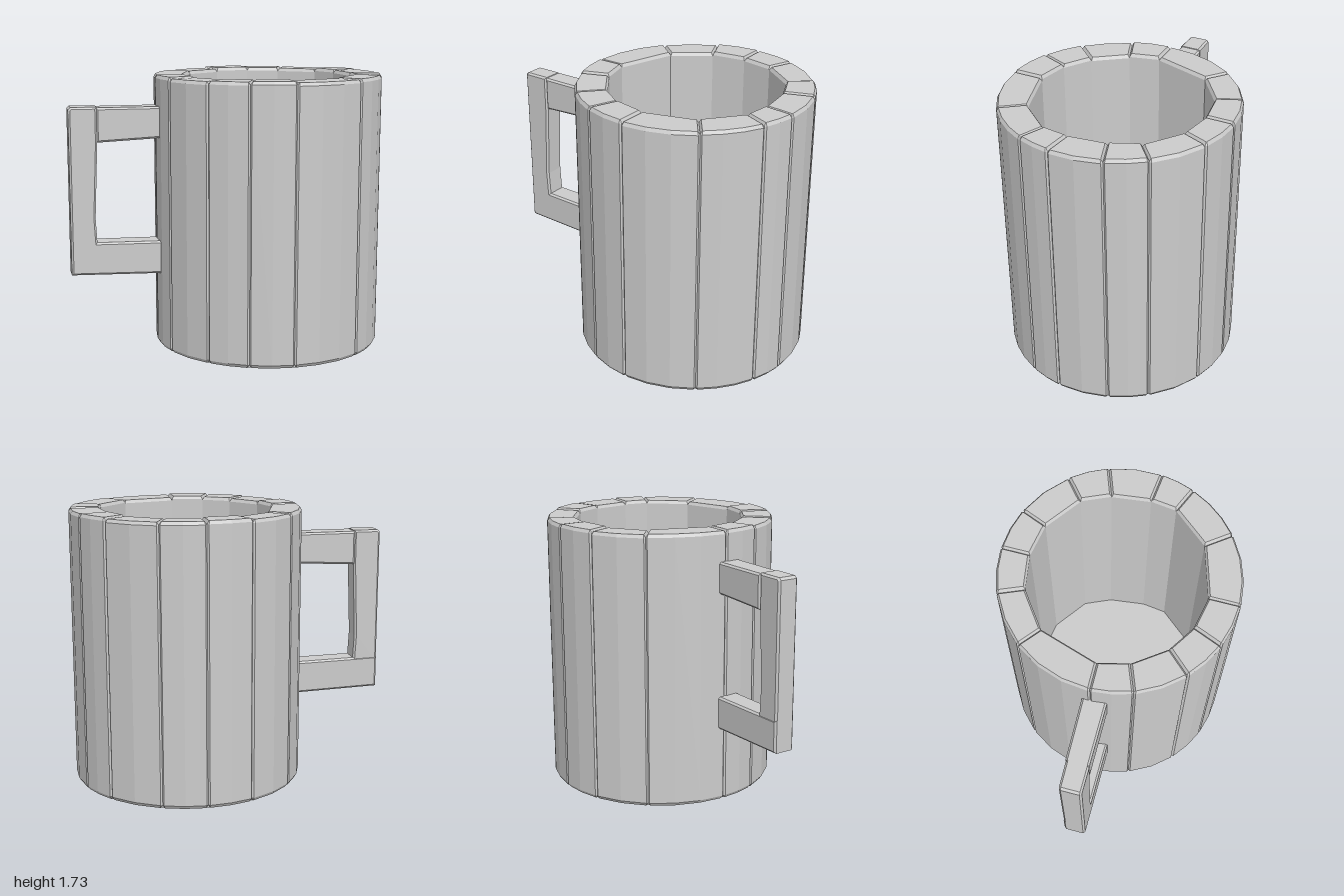
import * as THREE from 'three';

const CX = 0.275, R = 0.724, TOP = 1.73;
const mat = new THREE.MeshStandardMaterial({ color: 0xcccccc, flatShading: true });

// Stave seams around the cup: angle in degrees (from +x towards +z) and inner radius
const SEAMS = [
  [6, 0.53], [23, 0.55], [53, 0.54], [90, 0.53], [112, 0.53], [133, 0.53], [159, 0.54],
  [179, 0.55], [219, 0.56], [247, 0.555], [270, 0.545], [292, 0.55], [320, 0.55], [340, 0.53],
];

// Extrude with chamfered ends that stay inside the outline
function chamfered(shape, length, size, thick) {
  return new THREE.ExtrudeGeometry(shape, {
    depth: length - 2 * thick, bevelEnabled: true, bevelSegments: 1,
    bevelSize: size, bevelThickness: thick, bevelOffset: -size, curveSegments: 1,
  }).translate(0, 0, thick);
}

// One wooden stave: faceted arc outside, flat face inside, notched outer corners
function stave(i) {
  const [d0, r0] = SEAMS[i];
  let [d1, r1] = SEAMS[(i + 1) % SEAMS.length];
  if (d1 < d0) d1 += 360;
  const pt = (deg, r) => {
    const a = THREE.MathUtils.degToRad(deg);
    return new THREE.Vector2(r * Math.cos(a), -r * Math.sin(a));
  };
  const n = Math.max(2, Math.round((d1 - d0) / 12));
  const pts = [pt(d0, r0), pt(d0, R - 0.01)];
  for (let k = 0; k <= n; k++) {
    pts.push(pt(THREE.MathUtils.lerp(d0 + 0.8, d1 - 0.8, k / n), R));
  }
  pts.push(pt(d1, R - 0.01), pt(d1, r1));
  const height = TOP - 0.003 - (i % 3) * 0.004;
  const geo = chamfered(new THREE.Shape(pts), height, 0.012, 0.02);
  return geo.rotateX(-Math.PI / 2).translate(CX, 0.003, 0);
}

// Handle timber: outline in x/y, run through z
function timber(points, zMin, zMax) {
  const shape = new THREE.Shape(points.map(([x, y]) => new THREE.Vector2(x, y)));
  const geo = chamfered(shape, zMax - zMin, 0.012, 0.012).translate(0, 0, zMin);
  // Slight widening towards the cup
  const p = geo.attributes.position;
  for (let i = 0; i < p.count; i++) {
    if (p.getZ(i) < 0.04) p.setZ(i, p.getZ(i) - 0.02 * (p.getX(i) + 1));
  }
  geo.computeVertexNormals();
  return geo;
}

export function createModel() {
  const group = new THREE.Group();
  const add = (parent, name, geo) => {
    const mesh = new THREE.Mesh(geo, mat);
    mesh.name = name;
    parent.add(mesh);
  };

  // Ring of staves
  const wall = new THREE.Group();
  wall.name = 'cupWall';
  SEAMS.forEach((_, i) => add(wall, 'stave' + (i + 1), stave(i)));
  group.add(wall);

  // Solid base disc: its top is the cup floor
  add(group, 'base', new THREE.CylinderGeometry(0.7, 0.7, 0.17, 28).translate(CX, 0.085, 0));

  // Square handle from three timbers
  const handle = new THREE.Group();
  handle.name = 'handle';
  add(handle, 'handleTopBar',
    timber([[-0.83, 1.325], [-0.4, 1.345], [-0.4, 1.54], [-0.83, 1.54]], -0.025, 0.113));
  add(handle, 'handlePost',
    timber([[-1, 0.66], [-0.835, 0.66], [-0.845, 0.85], [-0.825, 1.33], [-0.825, 1.545],
      [-0.985, 1.545], [-1, 1.53]], -0.02, 0.115));
  add(handle, 'handleBottomBar',
    timber([[-1, 0.495], [-0.4, 0.48], [-0.4, 0.69], [-1, 0.7]], -0.023, 0.115));
  group.add(handle);

  return group;
}
